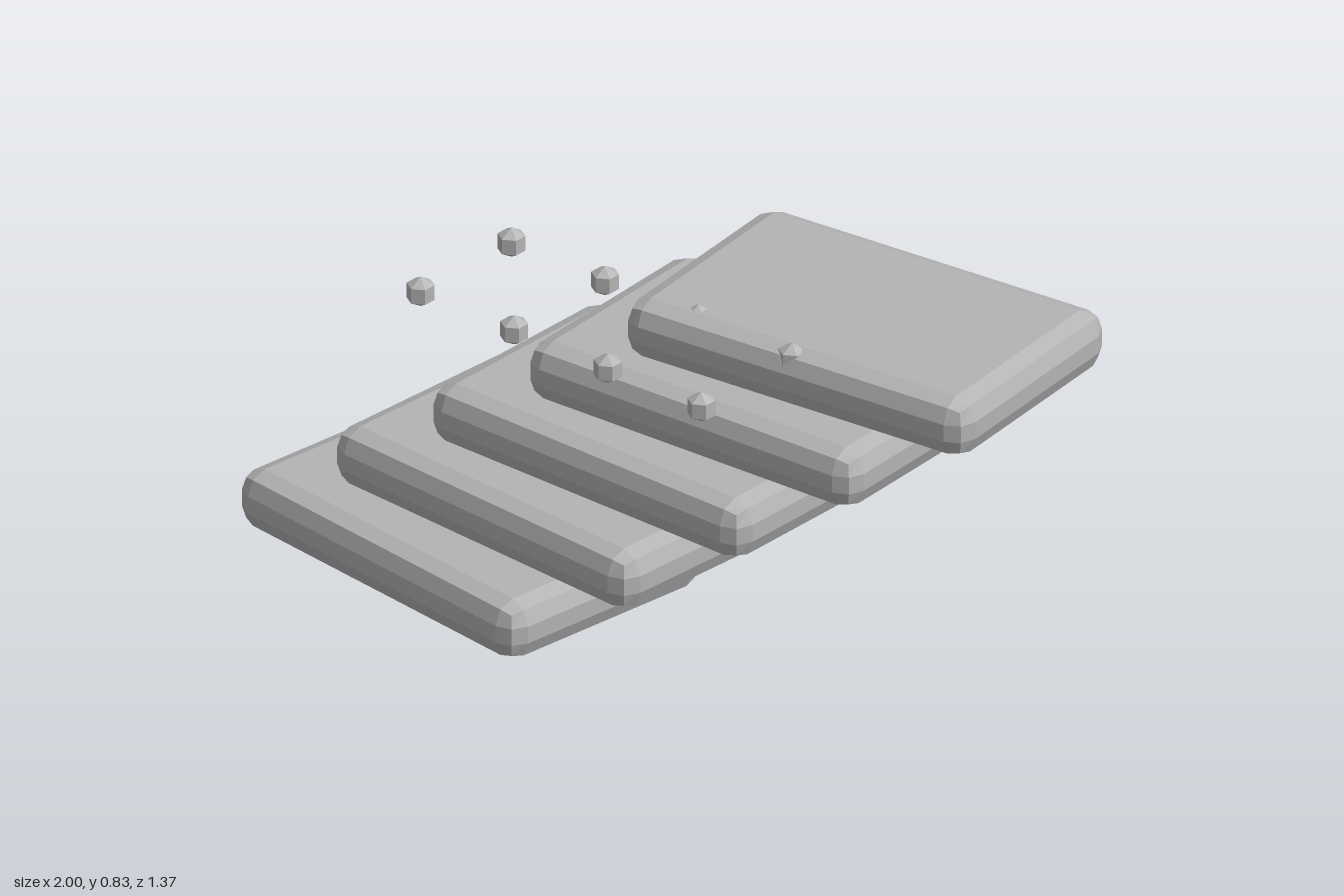
import * as THREE from 'three';
import { RoundedBoxGeometry } from 'three/addons/geometries/RoundedBoxGeometry.js';

export function createModel() {
  const model = new THREE.Group();
  model.name = 'steppedSlabs';
  const grey = new THREE.MeshStandardMaterial({ color: 0xb4b4b4, flatShading: true });
  grey.name = 'plain grey';

  // five bevelled slabs, fanned out and climbing towards the back left
  const slabGeometry = new RoundedBoxGeometry(1.08, 0.169, 0.69, 1, 0.06);
  for (let i = 0; i < 5; i++) {
    const k = i - 2;
    const slab = new THREE.Mesh(slabGeometry, grey);
    slab.name = `slab${i + 1}`;
    slab.position.set(0.2155 * k, 0.408 + 0.1615 * k, -0.1435 * k);
    slab.rotation.y = 0.06 * k;
    model.add(slab);
  }

  // two rows of small six-sided studs at the height of the top slab
  const studGeometry = new THREE.SphereGeometry(0.043, 6, 3);
  studGeometry.rotateY(Math.PI / 2);
  const studs = new THREE.Group();
  studs.name = 'studs';
  for (const z of [0.015, 0.375]) {
    for (let i = 0; i < 4; i++) {
      const stud = new THREE.Mesh(studGeometry, grey);
      stud.name = 'stud';
      stud.position.set(-0.525 + 0.3225 * i, 0.785, z);
      studs.add(stud);
    }
  }
  model.add(studs);
  return model;
}
